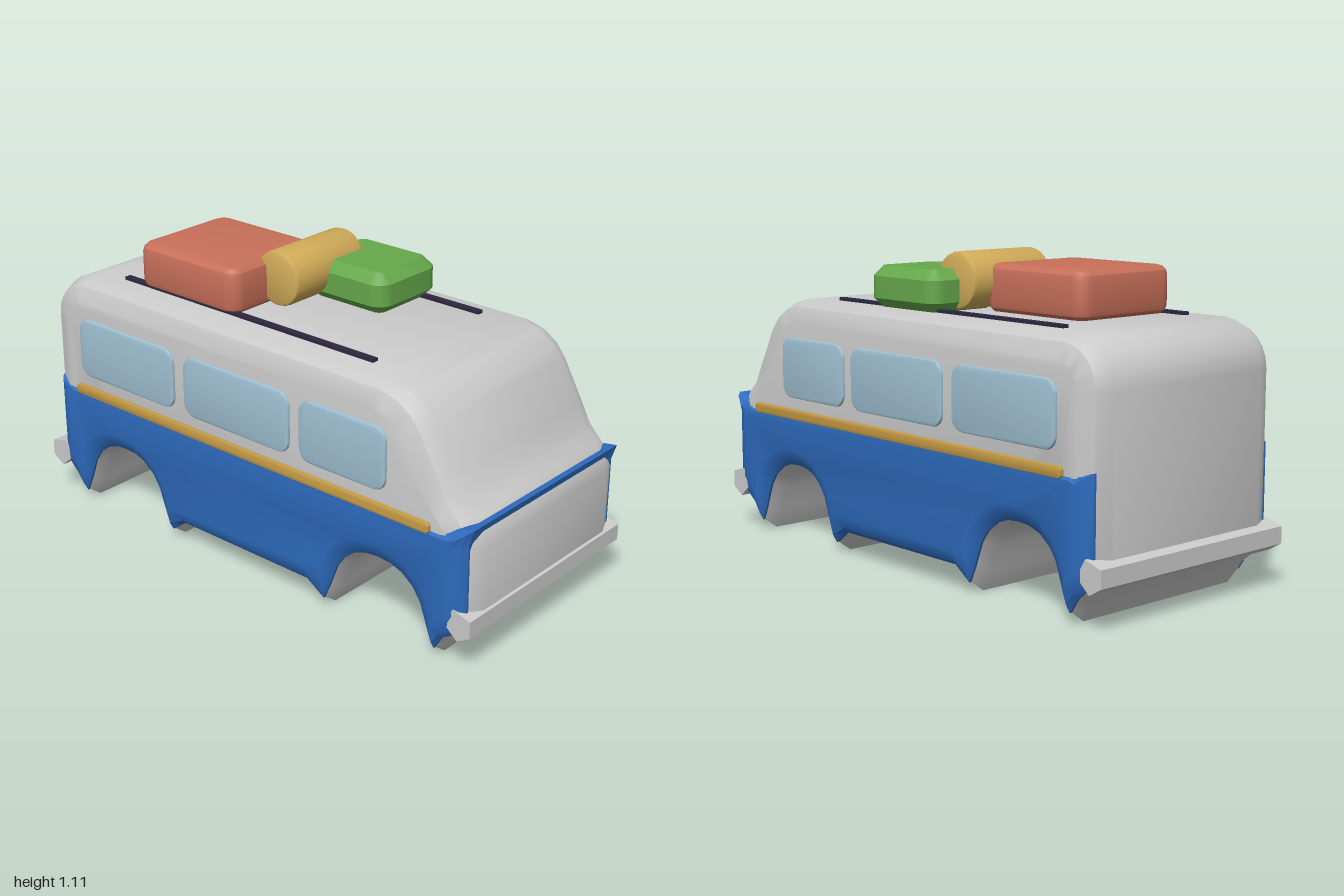
import * as THREE from 'three';
import { toCreasedNormals } from 'three/addons/utils/BufferGeometryUtils.js';

const paint = (name, color) => {
  const m = new THREE.MeshStandardMaterial({ color });
  m.name = name;
  return m;
};

// Outline points are [outer z, outer y, side z, side y]; the edge rounds from outer to side.
const arch = (c) => {
  const half = [
    [0.237, 0.005, 0.237, 0.14], [0.2, 0.08, 0.235, 0.17], [0.165, 0.17, 0.215, 0.235],
    [0.135, 0.215, 0.18, 0.285], [0.09, 0.25, 0.125, 0.325], [0.045, 0.267, 0.06, 0.345],
  ];
  const place = (s) => half.map(([a, b, d, e]) => [c + s * a, b, c + s * d, e]);
  return [...place(-1), [c, 0.27, c, 0.35], ...place(1).reverse()];
};

const lower = [
  [-0.965, 0.16, -0.885, 0.2], [-0.94, 0.12, -0.875, 0.17], [-0.88, 0.07, -0.86, 0.15],
  ...arch(-0.605),
  [-0.305, 0.07, -0.3, 0.145], [0.305, 0.07, 0.3, 0.145],
  ...arch(0.605),
  [0.88, 0.075, 0.86, 0.15], [0.94, 0.11, 0.89, 0.18], [0.99, 0.15, 0.91, 0.22],
];

const upper = [
  [0.99, 0.45, 0.91, 0.44], [0.975, 0.5, 0.9, 0.47], [0.94, 0.54, 0.86, 0.52],
  [0.9, 0.58, 0.82, 0.56], [0.86, 0.66, 0.78, 0.62], [0.78, 0.8, 0.71, 0.75],
  [0.74, 0.85, 0.67, 0.8], [0.68, 0.89, 0.63, 0.82], [0.6, 0.91, 0.58, 0.83],
];
for (let i = 0; i <= 6; i++) { // rounded rear roof corner
  const a = Math.PI / 2 * (1 + i / 6), c = Math.cos(a), s = Math.sin(a);
  upper.push([-0.8 + 0.165 * c, 0.745 + 0.165 * s, -0.8 + 0.085 * c, 0.745 + 0.085 * s]);
}

const beltTop = [
  [0.988, 0.48, 0.91, 0.44], [1.003, 0.54, 0.935, 0.485], [0.95, 0.535, 0.9, 0.47],
  [0.86, 0.49, 0.86, 0.47], [-0.86, 0.49, -0.86, 0.47], [-0.965, 0.515, -0.885, 0.46],
];

// Loft an outline across the width through mirrored rings of [x, roundness].
function shell(outline, halfRings) {
  const rings = [...halfRings.map(([x, t]) => [-x, t]).reverse(), ...halfRings];
  const n = outline.length, pos = [], idx = [];
  for (const [x, t] of rings)
    for (const [zo, yo, zi, yi] of outline)
      pos.push(x, yi + (yo - yi) * t, zi + (zo - zi) * t);
  for (let r = 0; r < rings.length - 1; r++)
    for (let i = 0; i < n; i++) {
      const j = (i + 1) % n, a = r * n + i, b = r * n + j;
      idx.push(a, b + n, b, a, a + n, b + n);
    }
  const side = outline.map(([, , z, y]) => new THREE.Vector2(z, y));
  const end = (rings.length - 1) * n;
  for (const [a, b, c] of THREE.ShapeUtils.triangulateShape(side, []))
    idx.push(a, b, c, end + c, end + b, end + a);
  const g = new THREE.BufferGeometry();
  g.setAttribute('position', new THREE.Float32BufferAttribute(pos, 3));
  g.setIndex(idx);
  return toCreasedNormals(g.toNonIndexed(), 0.5);
}

// Rounded slab w by h, centred, d thick along z, with bevelled faces.
function slab(w, h, d, radius, bevel, segments) {
  const x = w / 2 - bevel, y = h / 2 - bevel, r = Math.max(radius - bevel, 0.005);
  const s = new THREE.Shape();
  s.absarc(x - r, y - r, r, 0, Math.PI / 2);
  s.absarc(-x + r, y - r, r, Math.PI / 2, Math.PI);
  s.absarc(-x + r, -y + r, r, Math.PI, Math.PI * 1.5);
  s.absarc(x - r, -y + r, r, Math.PI * 1.5, Math.PI * 2);
  const g = new THREE.ExtrudeGeometry(s, {
    depth: d - 2 * bevel, bevelEnabled: true, bevelSize: bevel, bevelThickness: bevel,
    bevelSegments: segments, curveSegments: 4,
  });
  g.translate(0, 0, bevel - d / 2);
  return toCreasedNormals(g, 0.5);
}

export function createModel() {
  const grey = paint('body grey', 0xcbcbcb);
  const blue = paint('lower blue', 0x2e6cc0);
  const glass = paint('window glass', 0x9fc0d2);
  const brass = paint('trim gold', 0xc49a45);
  const rail = paint('rail dark', 0x2e2840);
  const red = paint('case red', 0xc8705a);
  const tan = paint('bedroll tan', 0xd0ab58);
  const green = paint('bag green', 0x66a84b);

  const van = new THREE.Group();
  van.name = 'van';
  const add = (name, geometry, material, x = 0, y = 0, z = 0) => {
    const m = new THREE.Mesh(geometry, material);
    m.name = name;
    m.position.set(x, y, z);
    van.add(m);
    return m;
  };

  // Body and its blue lower cladding
  add('body', shell([...lower, ...upper], [[0.345, 1], [0.4, 0.7], [0.425, 0]]), grey);
  add('lowerCladding', shell([...lower, ...beltTop],
    [[0.37, 0.72], [0.405, 0.72], [0.422, 0.5], [0.435, 0]]), blue);

  // Bumpers
  const section = new THREE.Shape([[1, 0.155], [1, 0.215], [0.93, 0.235], [0.91, 0.2],
    [0.91, 0.16], [0.95, 0.125]].map(([z, y]) => new THREE.Vector2(z, y)));
  const bumper = new THREE.ExtrudeGeometry(section, { depth: 0.86, bevelEnabled: false });
  bumper.rotateY(-Math.PI / 2).translate(0.43, 0, 0);
  add('frontBumper', bumper, grey);
  add('rearBumper', bumper, grey).rotation.y = Math.PI;

  // Side windows, belt trim and roof rails
  const windows = [[0.65, 0.28], [0.235, -0.26], [-0.31, -0.8]];
  for (const [side, s] of [['left', 1], ['right', -1]]) {
    windows.forEach(([front, rear], i) => {
      const g = slab(front - rear, 0.225, 0.03, 0.05, 0.008, 2).rotateY(Math.PI / 2);
      add(`${side}Window${i + 1}`, g, glass, s * 0.421, 0.662, (front + rear) / 2);
    });
    add(`${side}BeltTrim`, slab(1.66, 0.038, 0.03, 0.012, 0.008, 2).rotateY(Math.PI / 2),
      brass, s * 0.426, 0.488, 0);
    add(`${side}RoofRail`, new THREE.BoxGeometry(0.025, 0.02, 1.17), rail, s * 0.283, 0.911, -0.105);
  }

  // Luggage
  add('redSuitcase', slab(0.44, 0.48, 0.17, 0.055, 0.035, 3).rotateX(-Math.PI / 2),
    red, -0.085, 0.99, -0.37);
  add('greenBag', slab(0.32, 0.36, 0.15, 0.06, 0.036, 1).rotateX(-Math.PI / 2),
    green, 0.18, 0.981, 0.075);
  const rollProfile = [[0, -0.18], [0.085, -0.18], [0.096, -0.175], [0.1, -0.163],
    [0.1, 0.163], [0.096, 0.175], [0.085, 0.18], [0, 0.18]];
  const roll = new THREE.LatheGeometry(rollProfile.map(([r, y]) => new THREE.Vector2(r, y)), 24);
  add('bedroll', toCreasedNormals(roll.rotateZ(Math.PI / 2), 0.6), tan, 0.04, 1.015, -0.085);

  return van;
}
